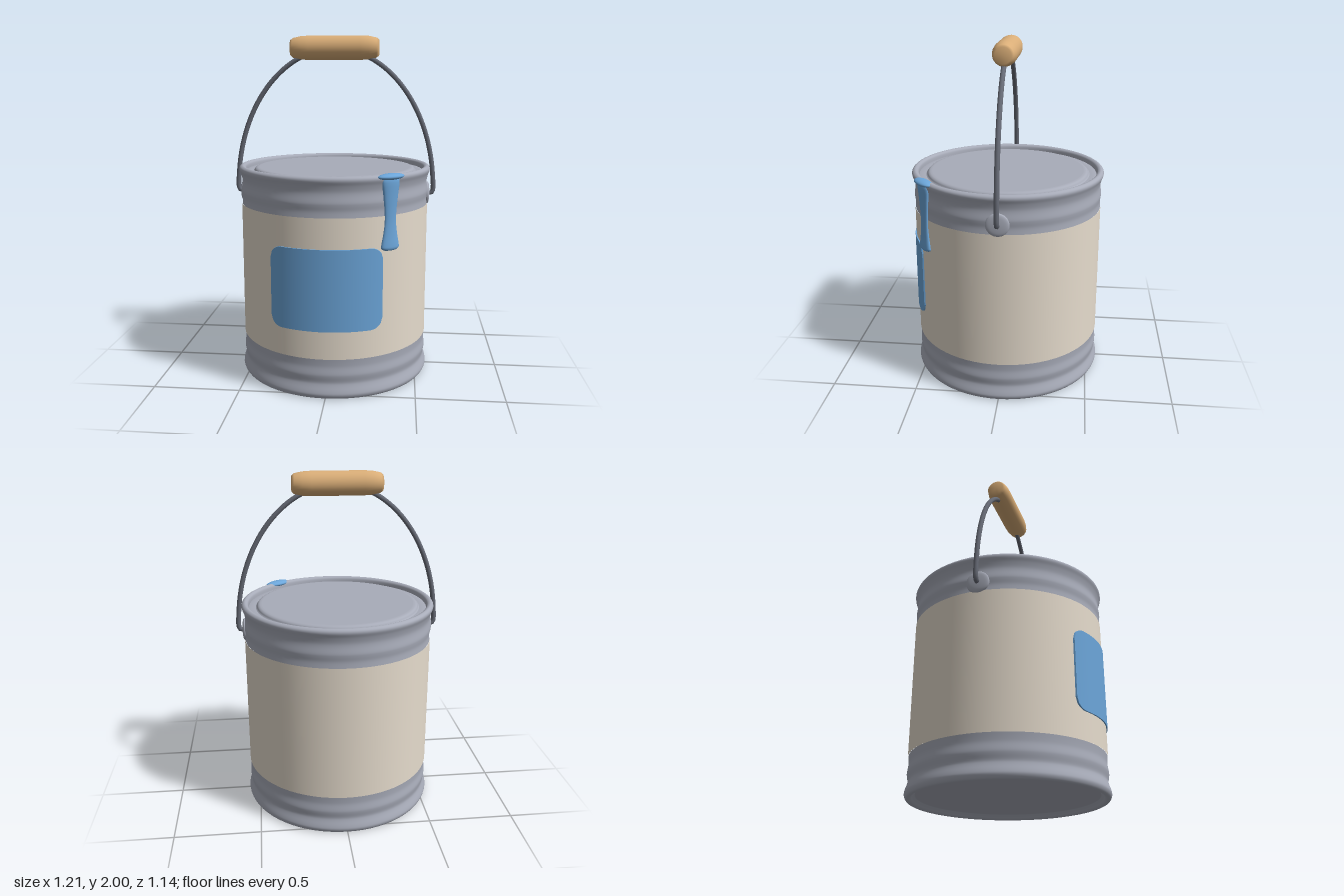
import * as THREE from 'three';

const V2 = (x, y) => new THREE.Vector2(x, y);

function material(name, color) {
  const m = new THREE.MeshStandardMaterial({ color });
  m.name = name;
  return m;
}

function mesh(name, geometry, mat, parent) {
  const m = new THREE.Mesh(geometry, mat);
  m.name = name;
  parent.add(m);
  return m;
}

// smooth curve through a few profile points
const smooth = (pts, n) => new THREE.SplineCurve(pts.map(p => V2(...p))).getPoints(n);
const straight = pts => pts.map(p => V2(...p));

export function createModel() {
  const model = new THREE.Group();
  model.name = 'paintBucket';
  const metal = material('tin metal', 0xa8acb9);
  const paper = material('cream paper', 0xe6dccd);
  const paint = material('blue paint', 0x6ca6da);
  const wireMat = material('dark wire', 0x666a75);
  const wood = material('wood', 0xdaae78);
  const SEG = 72;

  // lower tin band with a recessed underside
  const base = [
    V2(0, 0.03),
    ...smooth([[0.508, 0.029], [0.52, 0.018], [0.533, 0.005], [0.548, 0], [0.56, 0.006], [0.568, 0.025],
      [0.565, 0.045], [0.555, 0.075], [0.552, 0.095], [0.557, 0.125], [0.558, 0.145], [0.553, 0.18],
      [0.553, 0.205], [0.555, 0.234]], 48),
  ];
  mesh('lowerBand', new THREE.LatheGeometry(base, SEG), metal, model);

  // paper sleeve round the middle
  mesh('paperSleeve', new THREE.CylinderGeometry(0.558, 0.558, 0.795, SEG, 1, true), paper, model)
    .position.y = 0.63;

  // upper tin band rolling over the rim
  const top = smooth([[0.555, 1.025], [0.553, 1.06], [0.557, 1.09], [0.558, 1.11], [0.553, 1.145],
    [0.553, 1.17], [0.56, 1.2], [0.569, 1.225], [0.566, 1.241], [0.552, 1.25], [0.538, 1.246],
    [0.53, 1.235], [0.527, 1.21]], 48);
  mesh('upperBand', new THREE.LatheGeometry(top, SEG), metal, model);

  // pressed lid: a low ring, then a raised centre with a rounded edge
  const lid = [
    ...straight([[0.53, 1.215], [0.515, 1.217], [0.495, 1.217]]),
    ...smooth([[0.486, 1.216], [0.48, 1.221], [0.474, 1.23], [0.464, 1.236], [0.45, 1.238]], 16),
    V2(0, 1.238),
  ];
  mesh('lid', new THREE.LatheGeometry(lid, SEG), metal, model);

  // rounded blue plate wrapped round the front
  const W = 0.31, H = 0.231, C = 0.065;
  const patch = new THREE.BoxGeometry(2 * W, 2, 1, 72, 1, 1);
  const p = patch.attributes.position;
  for (let i = 0; i < p.count; i++) {
    const x = p.getX(i), r = p.getZ(i) > 0 ? 0.565 : 0.556;
    const d = Math.max(0, Math.abs(x) - (W - C));
    const half = H - C + Math.sqrt(Math.max(0, C * C - d * d));
    p.setXYZ(i, x, 0.625 + Math.sign(p.getY(i)) * half, Math.sqrt(r * r - x * x));
  }
  patch.computeVertexNormals();
  mesh('colourPatch', patch, paint, model);

  // paint drip running from the rim
  const drip = new THREE.Group();
  drip.name = 'paintDrip';
  const angle = 0.665;
  drip.position.set(0.56 * Math.sin(angle), 0, 0.56 * Math.cos(angle));
  drip.rotation.y = angle;
  model.add(drip);
  const run = new THREE.LatheGeometry(smooth([[0, 0.834], [0.038, 0.836], [0.057, 0.848], [0.057, 0.868],
    [0.046, 0.92], [0.037, 0.99], [0.039, 1.06], [0.048, 1.14], [0.054, 1.225], [0, 1.24]], 36), 24);
  run.scale(1, 1, 0.38);
  mesh('dripRun', run, paint, drip);
  const blob = new THREE.SphereGeometry(1, 28, 16);
  blob.scale(0.086, 0.018, 0.038);
  mesh('dripTop', blob, paint, drip).position.y = 1.24;

  // domed ears holding the wire
  const EAR = 1.082;
  for (const s of [-1, 1]) {
    const ear = new THREE.LatheGeometry(smooth([[0.066, 0], [0.064, 0.01], [0.05, 0.016],
      [0.025, 0.019], [0, 0.02]], 14), 32);
    const e = mesh(s > 0 ? 'leftEar' : 'rightEar', ear, metal, model);
    e.position.set(s * 0.55, EAR, 0);
    e.rotation.z = -s * Math.PI / 2;
  }

  // wire bail: half ellipse with its ends hooked into the ears
  const path = [new THREE.Vector3(0.55, EAR, 0), new THREE.Vector3(0.58, EAR, 0)];
  for (let i = 0; i <= 28; i++) {
    const a = Math.PI * i / 28;
    path.push(new THREE.Vector3(0.59 * Math.cos(a), 1.1 + 0.825 * Math.sin(a), 0));
  }
  path.push(new THREE.Vector3(-0.58, EAR, 0), new THREE.Vector3(-0.55, EAR, 0));
  mesh('wireBail', new THREE.TubeGeometry(new THREE.CatmullRomCurve3(path), 140, 0.0145, 10), wireMat, model);

  // turned wooden grip with softened ends
  const L = 0.26;
  const grip = straight([[0, -L], [0.045, -L], [0.057, -L + 0.014], [0.067, -0.2], [0.07, -0.15],
    [0.07, 0.15], [0.067, 0.2], [0.057, L - 0.014], [0.045, L], [0, L]]);
  const g = mesh('woodenGrip', new THREE.LatheGeometry(grip, 32), wood, model);
  g.rotation.z = Math.PI / 2;
  g.position.y = 1.93;

  return model;
}
